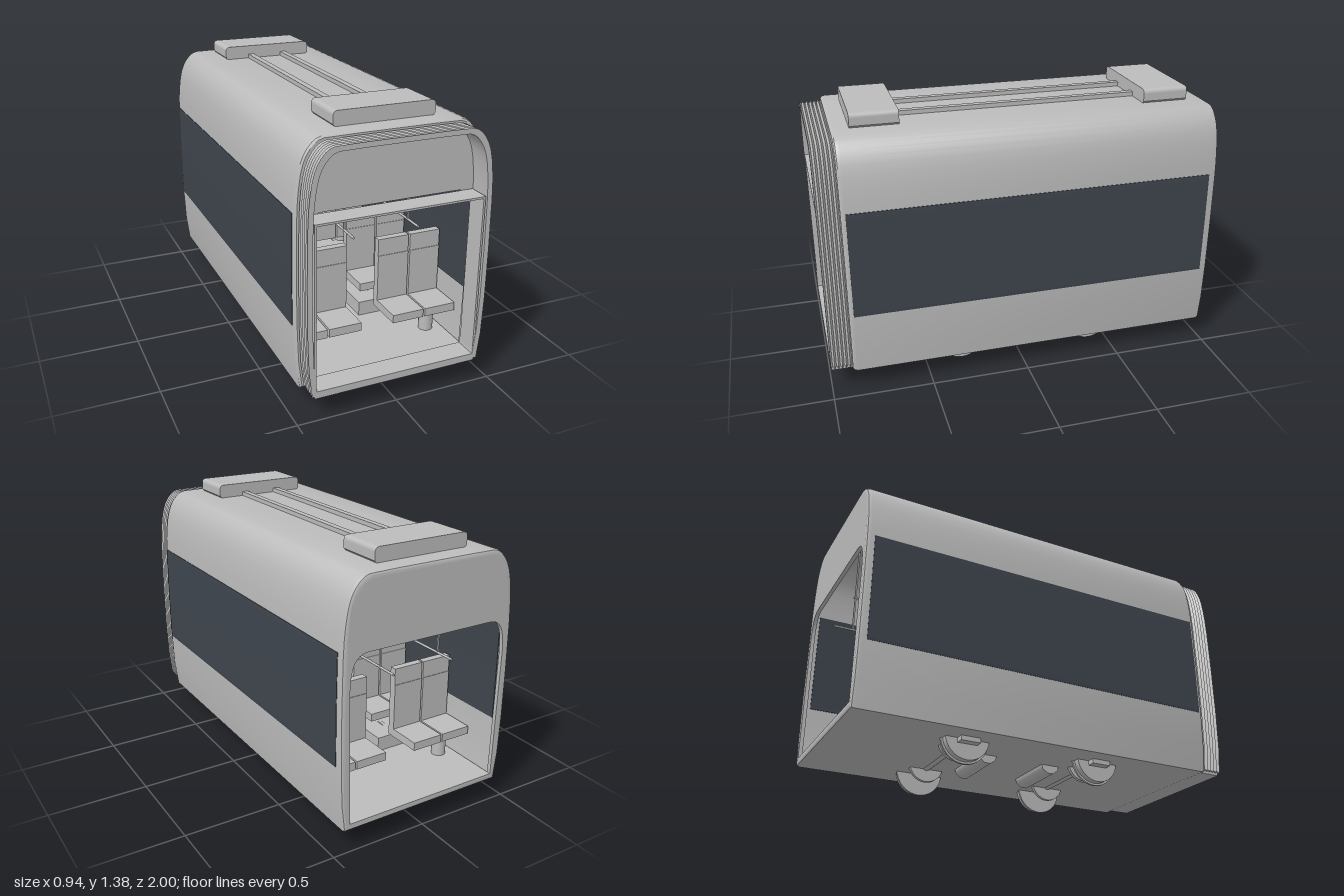
import * as THREE from 'three';
import { toCreasedNormals } from 'three/addons/utils/BufferGeometryUtils.js';

const grey = new THREE.MeshStandardMaterial({ color: 0xbcbcbc });
grey.name = 'bodyGrey';
const dark = new THREE.MeshStandardMaterial({ color: 0x3e454d });
dark.name = 'darkGlass';

// right half of the body cross-section, bottom to top
const HALF = [[0.444, 0.115], [0.46, 0.25], [0.467, 0.45], [0.468, 0.7], [0.465, 0.95], [0.461, 1.04],
  [0.455, 1.1], [0.447, 1.155], [0.436, 1.2], [0.422, 1.235], [0.405, 1.262], [0.385, 1.285],
  [0.364, 1.3], [0.34, 1.308], [0.2, 1.31]];

// closed anticlockwise outline, shrunk by an inset
function section(inset) {
  const all = [...HALF, ...HALF.map(([x, y]) => [-x, y]).reverse()];
  return all.map(([x, y]) => [x * (1 - inset / 0.468), 0.7125 + (y - 0.7125) * (1 - inset / 0.5975)]);
}

// skin through rings of [z, inset]
function loft(rings, crease) {
  const pos = [], idx = [], n = HALF.length * 2;
  rings.forEach(([z, inset]) => section(inset).forEach(([x, y]) => pos.push(x, y, z)));
  for (let i = 0; i < rings.length - 1; i++) {
    for (let j = 0; j < n; j++) {
      const a = i * n + j, b = i * n + (j + 1) % n;
      idx.push(a, b, b + n, a, b + n, a + n);
    }
  }
  const g = new THREE.BufferGeometry();
  g.setAttribute('position', new THREE.Float32BufferAttribute(pos, 3));
  g.setIndex(idx);
  return toCreasedNormals(g, crease);
}

export function createModel() {
  const model = new THREE.Group();
  model.name = 'railCar';

  const add = (name, geo, mat = grey, parent = model) => {
    const m = new THREE.Mesh(geo, mat);
    m.name = name;
    parent.add(m);
    return m;
  };
  // box given by its limits on each axis
  const box = (name, x0, x1, y0, y1, z0, z1, mat, parent) => {
    const m = add(name, new THREE.BoxGeometry(x1 - x0, y1 - y0, z1 - z0), mat, parent);
    m.position.set((x0 + x1) / 2, (y0 + y1) / 2, (z0 + z1) / 2);
    return m;
  };
  // cylinder lying along x
  const rod = (name, r, x0, x1, y, z, sides = 32) => {
    const m = add(name, new THREE.CylinderGeometry(r, r, x1 - x0, sides).rotateZ(Math.PI / 2));
    m.position.set((x0 + x1) / 2, y, z);
    return m;
  };
  const extrude = (shape, depth, z) =>
    new THREE.ExtrudeGeometry(shape, { depth, bevelEnabled: false, curveSegments: 10 }).translate(0, 0, z);

  // body shell with rounded ends and an inner skin
  add('bodyShell', loft([[-1, 0.012], [-0.995, 0.004], [-0.98, 0], [0.87, 0], [0.885, 0.004],
    [0.892, 0.012], [0.892, 0.025], [-1, 0.025], [-1, 0.012]], 0.6));

  // ribbed gangway bellows
  const rings = [];
  for (let i = 0; i <= 12; i++) rings.push([0.885 + i * 0.115 / 12, i % 2 ? 0.03 : 0.017]);
  rings.push([1, 0.042], [0.885, 0.042]);
  add('bellows', loft(rings, 0.4));

  // end walls with a round-cornered opening
  for (const [name, z] of [['rearWall', -1], ['frontWall', 0.865]]) {
    const wall = new THREE.Shape(section(0.013).map(([x, y]) => new THREE.Vector2(x, y)));
    const hole = new THREE.Path();
    hole.moveTo(-0.415, 0.15).lineTo(0.415, 0.15).lineTo(0.427, 0.8);
    hole.bezierCurveTo(0.425, 0.92, 0.4, 0.965, 0.33, 0.965);
    hole.lineTo(-0.33, 0.965);
    hole.bezierCurveTo(-0.4, 0.965, -0.425, 0.92, -0.427, 0.8);
    hole.lineTo(-0.415, 0.15);
    wall.holes.push(hole);
    add(name, extrude(wall, 0.02, z));
  }

  // front door frame
  for (const s of [-1, 1]) box('doorPost', s * 0.411 - 0.005, s * 0.411 + 0.005, 0.14, 0.955, 0.89, 0.998);
  box('doorHeader', -0.416, 0.416, 0.953, 0.963, 0.89, 0.998);
  box('floor', -0.415, 0.415, 0.12, 0.15, -0.99, 0.998);

  // long side windows, outside and inside panes
  const edge = [[0.466, 0.435], [0.467, 0.45], [0.468, 0.7], [0.465, 0.95], [0.464, 0.975]];
  const pane = (s, d0, d1) => {
    const pts = [...edge.map(([x, y]) => [x + d0, y]), ...edge.map(([x, y]) => [x + d1, y]).reverse()];
    return extrude(new THREE.Shape(pts.map(([x, y]) => new THREE.Vector2(s * x, y))), 1.83, -0.96);
  };
  for (const s of [-1, 1]) {
    add('windowOutside', pane(s, -0.002, 0.002), dark);
    add('windowInside', pane(s, -0.029, -0.022), dark);
  }

  // roof equipment boxes and the pipes between them
  const pod = new THREE.Shape();
  pod.moveTo(-0.23, 1.3).lineTo(0.23, 1.3).lineTo(0.25, 1.32).lineTo(0.25, 1.36)
    .quadraticCurveTo(0.248, 1.378, 0.23, 1.38).lineTo(-0.23, 1.38)
    .quadraticCurveTo(-0.248, 1.378, -0.25, 1.36).lineTo(-0.25, 1.32);
  add('roofBoxFront', extrude(pod, 0.235, 0.57));
  add('roofBoxRear', extrude(pod, 0.235, -0.905));
  for (const x of [-0.1, 0.095]) box('roofPipe', x - 0.016, x + 0.016, 1.3, 1.332, -0.68, 0.58);

  // seat pairs facing the nearer end of the car
  for (const [z, dir] of [[0.6, 1], [0.24, 1], [-0.26, -1], [-0.62, -1]]) {
    for (const s of [-1, 1]) {
      const pair = new THREE.Group();
      pair.name = 'seatPair';
      for (const x of [0.168, 0.343]) {
        box('seatCushion', s * x - 0.083, s * x + 0.083, 0.283, 0.325, -0.02, 0.19, grey, pair);
        box('seatBack', s * x - 0.083, s * x + 0.083, 0.283, 0.565, -0.02, 0.02, grey, pair);
        box('headrest', s * x - 0.083, s * x + 0.083, 0.565, 0.652, -0.02, 0.017, grey, pair);
      }
      const leg = add('seatLeg', new THREE.CylinderGeometry(0.036, 0.036, 0.14, 20), grey, pair);
      leg.position.set(s * 0.333, 0.215, 0.08);
      pair.position.z = z;
      if (dir < 0) pair.scale.z = -1;
      model.add(pair);
    }
  }

  // wheel covers on the floor
  for (const s of [-1, 1]) {
    for (const z of [0.31, -0.4]) box('wheelCover', s * 0.25 - 0.175, s * 0.25 + 0.175, 0.15, 0.225, z - 0.13, z + 0.13);
  }
  box('floorHatch', -0.08, 0.08, 0.15, 0.2, -0.12, 0.03);

  // hanging display
  box('displayCase', -0.12, 0.12, 0.853, 0.934, -0.02, 0.02);
  for (const s of [-1, 1]) box('displayScreen', -0.109, 0.109, 0.858, 0.928, s * 0.021 - 0.002, s * 0.021 + 0.002, dark);
  box('displayRod', -0.005, 0.005, 0.93, 1.29, -0.005, 0.005);

  // overhead grab rails
  for (const s of [-1, 1]) {
    const rail = add('grabRail', new THREE.CylinderGeometry(0.006, 0.006, 1.8, 8).rotateX(Math.PI / 2));
    rail.position.set(s * 0.164, 0.8, -0.05);
    for (const z of [-0.85, -0.05, 0.75]) box('railHanger', s * 0.164 - 0.004, s * 0.164 + 0.004, 0.8, 1.29, z - 0.004, z + 0.004);
  }

  // wheelsets
  for (const z of [0.31, -0.4]) {
    rod('axle', 0.02, -0.36, 0.36, 0.127, z, 16);
    for (const s of [-1, 1]) {
      const span = (a, b) => (s > 0 ? [a, b] : [-b, -a]);
      rod('wheelTread', 0.112, ...span(0.285, 0.32), 0.127, z);
      rod('wheelFlange', 0.122, ...span(0.275, 0.287), 0.127, z);
      rod('brakeDisc', 0.09, ...span(0.178, 0.198), 0.14, z);
      box('axleBox', ...span(0.315, 0.36), 0.092, 0.13, z - 0.05, z + 0.05);
    }
  }
  for (const z of [0.13, -0.22]) rod('motor', 0.052, -0.165, 0.115, 0.124, z, 10);

  return model;
}
